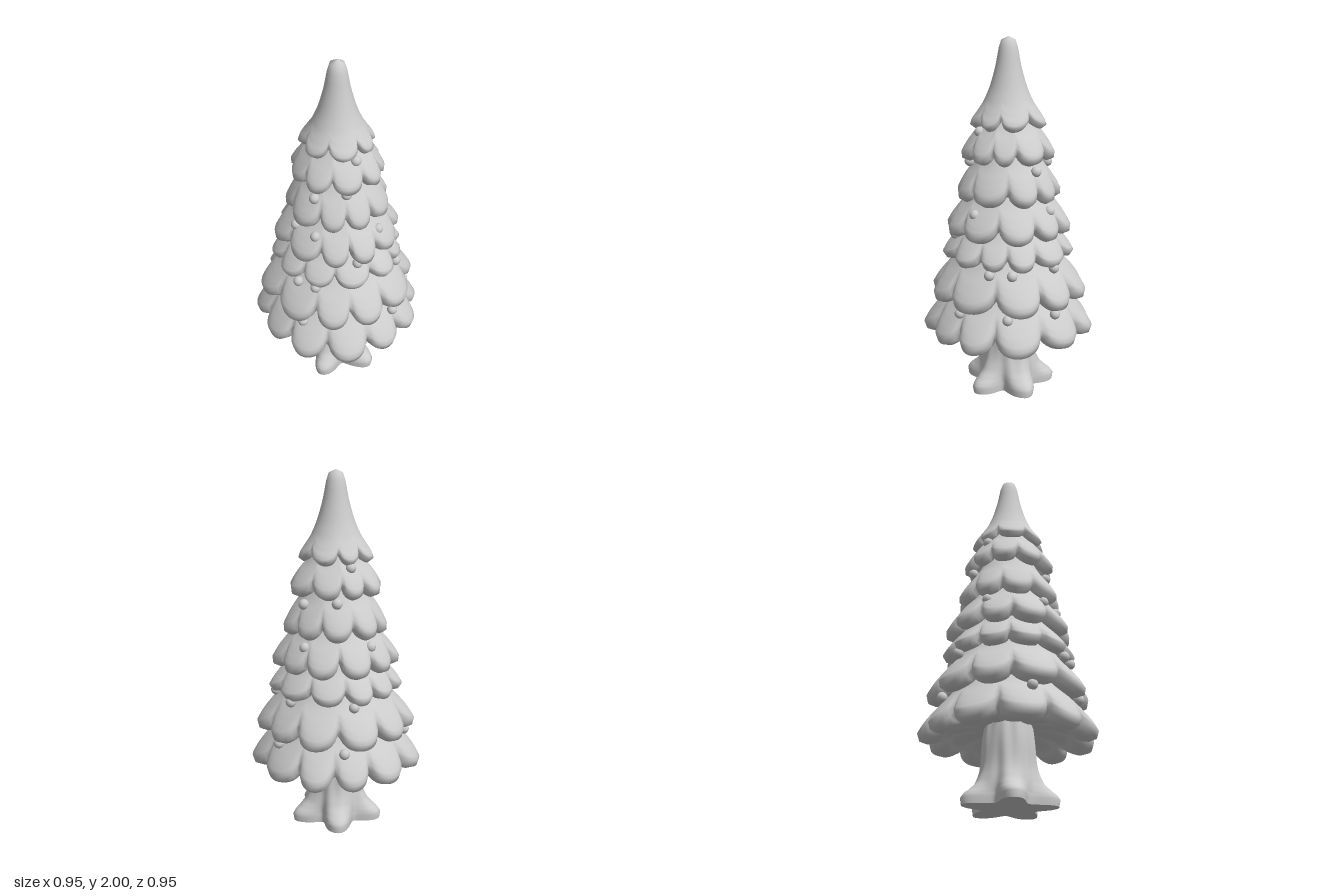
import * as THREE from 'three';

const V = (r, y, w) => new THREE.Vector3(r, y, w);
const material = new THREE.MeshStandardMaterial({ color: 0xcccccc, roughness: 0.8 });
const mix = THREE.MathUtils.lerp;

// Closed-around-y surface: place(row, angle) returns [radius, height]; rows run from top to bottom
function polarSurface(name, rows, segments, place) {
  const positions = [], index = [];
  for (let i = 0; i <= rows; i++) {
    for (let j = 0; j < segments; j++) {
      const a = (j / segments) * Math.PI * 2;
      const [r, y] = place(i, a);
      positions.push(r * Math.sin(a), y, r * Math.cos(a));
      if (i === rows) continue;
      const k = (j + 1) % segments;
      const p = i * segments + j, q = i * segments + k;
      index.push(p, p + segments, q, q, p + segments, q + segments);
    }
  }
  const geometry = new THREE.BufferGeometry();
  geometry.setAttribute('position', new THREE.Float32BufferAttribute(positions, 3));
  geometry.setIndex(index);
  geometry.computeVertexNormals();
  const mesh = new THREE.Mesh(geometry, material);
  mesh.name = name;
  return mesh;
}

// Skirt of puffy lobes; profile points are (radius, height, lobe strength)
function lobedTier(name, points, lobes, phase, depth, lift) {
  const rows = 52;
  const profile = new THREE.CatmullRomCurve3(points, false, 'centripetal').getSpacedPoints(rows);
  return polarSurface(name, rows, lobes * 16, (i, a) => {
    const p = profile[i];
    // slightly uneven lobe widths and sizes
    const s = (a / (Math.PI * 2)) * lobes + phase
      + 0.09 * Math.sin(2 * a + phase * 9) + 0.07 * Math.sin(3 * a + phase * 5);
    const id = ((Math.floor(s) % lobes) + lobes) % lobes;
    const u = (s - Math.floor(s)) * 2 - 1;
    const round = Math.sqrt(Math.max(0, 1 - 0.98 * u * u));
    const size = 1 - 0.02 * (1 + Math.sin(id * 2.4 + phase * 7)) * (1 - u * u);
    const notch = p.z * (1 - round);
    return [p.x * (1 - depth * notch) * mix(1, size, p.z), p.y + lift * notch];
  });
}

export function createModel() {
  const tree = new THREE.Group();
  tree.name = 'tree';

  // Trunk flaring into five rounded roots, closed by a flat base
  const trunkRows = 30;
  const trunkProfile = new THREE.CatmullRomCurve3([
    V(0.12, 0.5, 0), V(0.14, 0.36, 0.04), V(0.15, 0.22, 0.14), V(0.178, 0.135, 0.35),
    V(0.22, 0.085, 0.7), V(0.257, 0.05, 0.95), V(0.268, 0.024, 1), V(0.26, 0, 1),
  ], false, 'centripetal').getSpacedPoints(trunkRows);
  tree.add(polarSurface('trunk', trunkRows + 2, 100, (i, a) => {
    if (i === trunkRows + 2) return [0, 0];
    const p = trunkProfile[Math.min(i, trunkRows)]; // doubled last ring keeps the base edge sharp
    const valley = 0.5 - 0.5 * Math.cos(5 * (a - Math.PI / 5));
    const bark = 1 + 0.02 * Math.sin(9 * a + 8 * p.y) + 0.012 * Math.sin(14 * a);
    return [p.x * (1 - 0.42 * p.z * valley) * bark, p.y];
  }));

  // Pointed crown
  tree.add(lobedTier('crown', [
    V(0, 2, 0), V(0.025, 1.995, 0), V(0.043, 1.972, 0), V(0.055, 1.92, 0), V(0.068, 1.85, 0),
    V(0.092, 1.76, 0), V(0.13, 1.665, 0.25), V(0.172, 1.598, 0.65), V(0.203, 1.552, 0.95),
    V(0.208, 1.53, 1), V(0.192, 1.515, 1), V(0.16, 1.522, 0.9), V(0.06, 1.57, 0),
  ], 7, 0.58, 0.3, 0.075));

  // Branch tiers: rim bottom, rim radius, top height, top radius, lobes, phase, notch lift
  [
    [1.335, 0.265, 1.62, 0.1, 9, 0.5, 0.075],
    [1.115, 0.298, 1.44, 0.13, 9, 0.03, 0.085],
    [0.925, 0.358, 1.24, 0.165, 10, 0, 0.09],
    [0.785, 0.378, 1.03, 0.215, 11, 0.45, 0.07],
    [0.55, 0.45, 0.9, 0.22, 10, 0.03, 0.1],
    [0.335, 0.486, 0.7, 0.25, 11, 0.68, 0.1],
  ].forEach(([yb, R, yt, rt, lobes, phase, lift], i) => {
    const H = yt - yb;
    tree.add(lobedTier('branchTier' + (i + 1), [
      V(rt, yt, 0),
      V(mix(rt, R, 0.36), yb + 0.66 * H, 0.3),
      V(mix(rt, R, 0.71), yb + 0.41 * H, 0.7),
      V(mix(rt, R, 0.92), yb + 0.23 * H, 0.95),
      V(R, yb + 0.12 * H, 1),
      V(R - 0.008, yb + 0.055 * H, 1),
      V(R - 0.028, yb + 0.015 * H, 1),
      V(R - 0.06, yb, 1),
      V(R * 0.78, yb + 0.012, 0.95),
      V(R * 0.64, yb + 0.055, 0.6),
      V(0.1, yb + 0.1, 0),
    ], lobes, phase, 0.26, lift));
  });

  // Small baubles: azimuth in degrees from the front, height
  const bauble = new THREE.SphereGeometry(0.029, 12, 8);
  [
    [40, 0.54], [-43, 0.55], [82, 0.54], [123, 0.54], [-97, 0.54], [183, 0.54],
    [-34, 0.78], [-53, 0.78], [65, 0.77], [86, 0.77], [130, 0.78], [193, 0.78],
    [8, 0.93], [-39, 1.08], [220, 1.08], [138, 1.08], [-70, 1.09], [41, 1.07],
    [0, 1.33], [-46, 1.29], [125, 1.3], [178, 1.32], [20, 1.5], [203, 1.5],
  ].forEach(([deg, y], i) => {
    const a = THREE.MathUtils.degToRad(deg), r = 0.512 - 0.225 * y;
    const mesh = new THREE.Mesh(bauble, material);
    mesh.name = 'bauble' + (i + 1);
    mesh.position.set(r * Math.sin(a), y, r * Math.cos(a));
    tree.add(mesh);
  });

  return tree;
}
